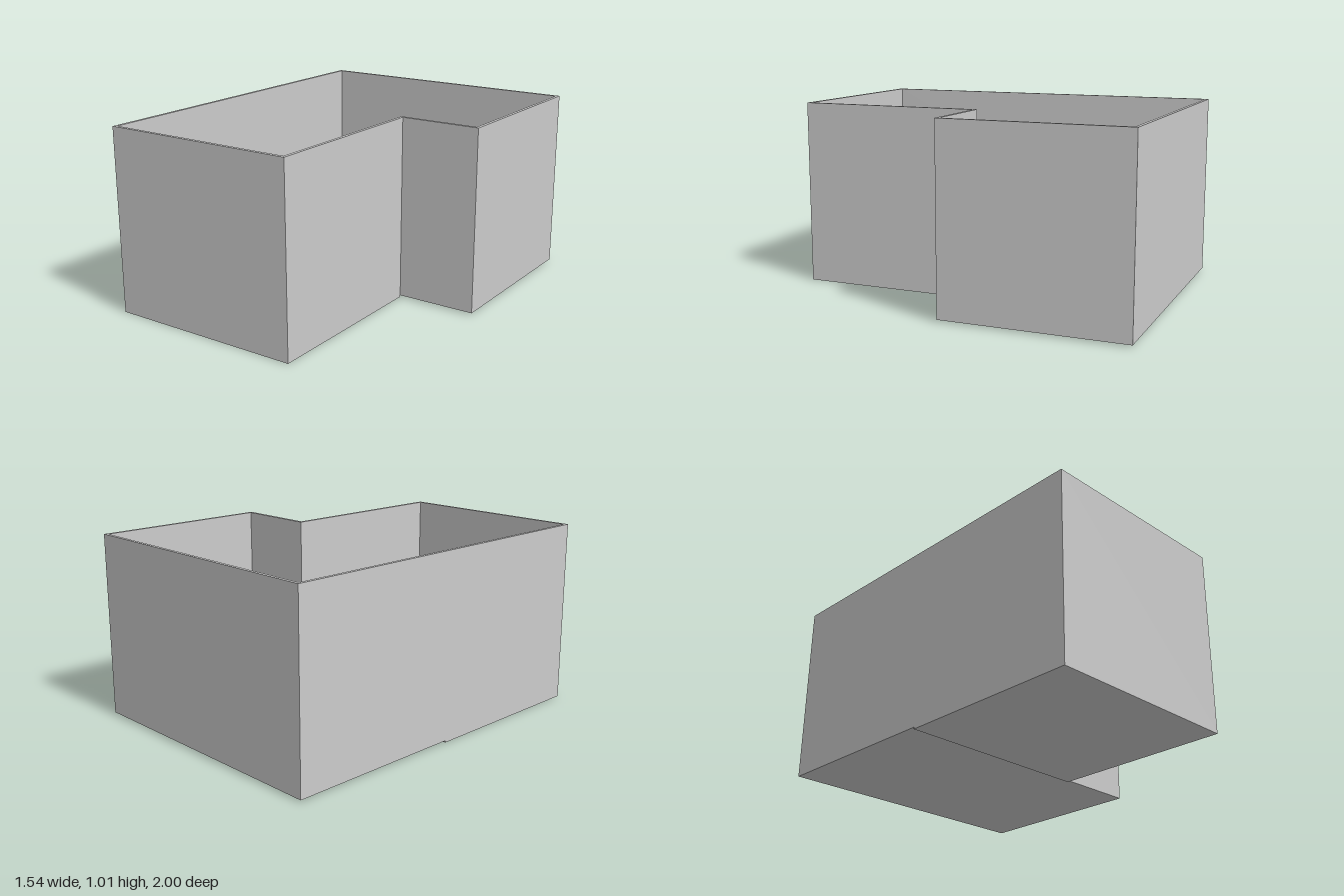
import * as THREE from 'three';

const X = 0.768, Z = 1, STEP_X = 0.325, STEP_Z = -0.003; // L-shaped outline
const WALL = 0.018, SLAB = 0.01, TOP = 1.01;

// Corners of the L plan, moved inward by d (plan y is -z)
function outline(d) {
  return [
    [-X + d, -Z + d], [STEP_X - d, -Z + d], [STEP_X - d, -STEP_Z + d],
    [X - d, -STEP_Z + d], [X - d, Z - d], [-X + d, Z - d],
  ].map(([x, y]) => new THREE.Vector2(x, y));
}

export function createModel() {
  const group = new THREE.Group();
  const material = new THREE.MeshStandardMaterial({ color: 0xcccccc, flatShading: true });

  function add(name, geometry, x, y, z) {
    const mesh = new THREE.Mesh(geometry, material);
    mesh.name = name;
    mesh.position.set(x, y, z);
    group.add(mesh);
  }

  // Continuous wall ring, open at the top
  const plan = new THREE.Shape(outline(0));
  plan.holes.push(new THREE.Path(outline(WALL)));
  const walls = new THREE.ExtrudeGeometry(plan, { depth: TOP - SLAB, bevelEnabled: false });
  walls.rotateX(-Math.PI / 2);
  add('walls', walls, 0, SLAB, 0);

  // Front floor slab carries the walls
  const frontDepth = Z - STEP_Z;
  add('frontFloor', new THREE.BoxGeometry(X + STEP_X, SLAB, frontDepth),
    (STEP_X - X) / 2, SLAB / 2, (Z + STEP_Z) / 2);

  // Back floor slab sits one slab higher, level with the wall base
  const backDepth = Z + STEP_Z;
  add('backFloor', new THREE.BoxGeometry(2 * X, SLAB, backDepth),
    0, SLAB * 1.5, (STEP_Z - Z) / 2);

  return group;
}
